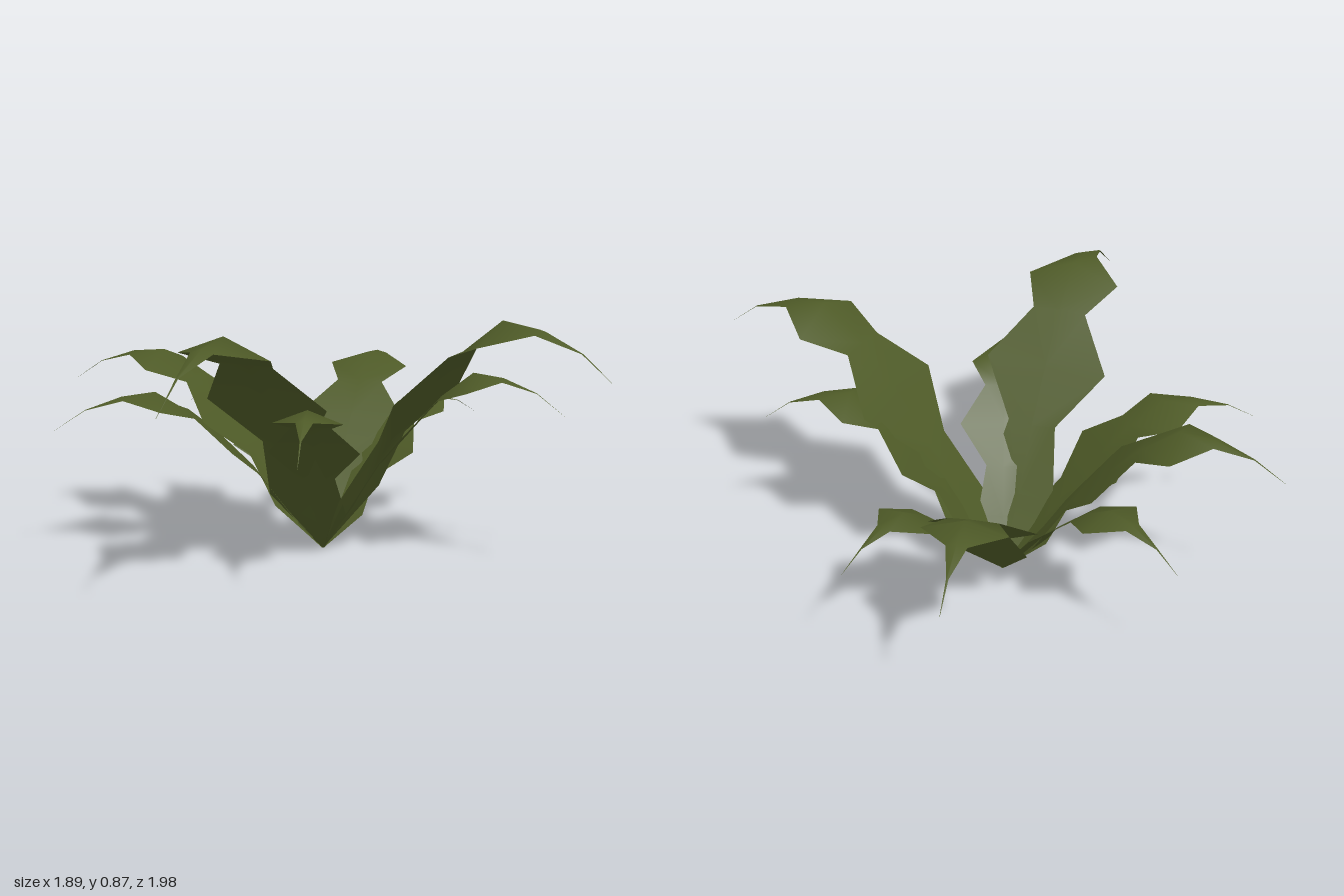
import * as THREE from 'three';

// Leaf template for a blade of unit reach and unit peak height:
// [distance along, half width, midrib height, edge height]
const ROWS = [
  [0, 0.006, 0, 0.004],
  [0.135, 0.115, 0.25, 0.25],
  [0.252, 0.077, 0.49, 0.5],
  [0.375, 0.196, 0.69, 0.685],
  [0.495, 0.086, 0.865, 0.86],
  [0.627, 0.148, 1.0, 0.925],
  [0.75, 0.036, 0.98, 0.965],
  [0.885, 0.004, 0.91, 0.908],
  [1, 0.0005, 0.795, 0.795],
];

// Tip x, tip z and peak height of every leaf
const LEAVES = [
  ['backLeaf', 0.17, -0.98, 0.58],
  ['backLeftSmallLeaf', 0.49, -0.62, 0.465],
  ['backRightSmallLeaf', -0.57, -0.65, 0.485],
  ['rightBackLeaf', -0.94, -0.33, 0.66],
  ['rightFrontLeaf', -0.9, 0.22, 0.58],
  ['frontRightTallLeaf', -0.42, 1.0, 0.865],
  ['frontLeaf', -0.03, 0.74, 0.6],
  ['leftFrontTallLeaf', 0.95, 0.48, 0.87],
  ['leftLeaf', 0.8, 0.11, 0.65],
];

const ROOT_X = -0.02, ROOT_Z = -0.04;

// Three-column strip (edge, midrib, edge) running from the root to the tip
function leafGeometry(tipX, tipZ, peak) {
  const dx = tipX - ROOT_X, dz = tipZ - ROOT_Z;
  const positions = [], index = [];
  ROWS.forEach(([along, half, mid, edge], i) => {
    for (let side = -1; side <= 1; side++) {
      const w = half * side;
      positions.push(
        ROOT_X + dx * along - dz * w,
        (side === 0 ? mid : edge) * peak,
        ROOT_Z + dz * along + dx * w
      );
    }
    if (i === ROWS.length - 1) return;
    for (let j = 0; j < 2; j++) {
      const a = i * 3 + j, b = a + 1, c = a + 3, d = a + 4;
      // mirror the diagonal on each half of the blade
      if (j === 0) index.push(a, b, c, b, d, c);
      else index.push(a, b, d, a, d, c);
    }
  });
  const geometry = new THREE.BufferGeometry();
  geometry.setAttribute('position', new THREE.Float32BufferAttribute(positions, 3));
  geometry.setIndex(index);
  geometry.computeVertexNormals();
  return geometry;
}

export function createModel() {
  const leafGreen = new THREE.MeshStandardMaterial({ color: 0x4e5a27, side: THREE.DoubleSide });
  leafGreen.name = 'leafGreen';

  const plant = new THREE.Group();
  plant.name = 'leafyPlant';
  for (const [name, x, z, peak] of LEAVES) {
    const leaf = new THREE.Mesh(leafGeometry(x, z, peak), leafGreen);
    leaf.name = name;
    plant.add(leaf);
  }
  return plant;
}
